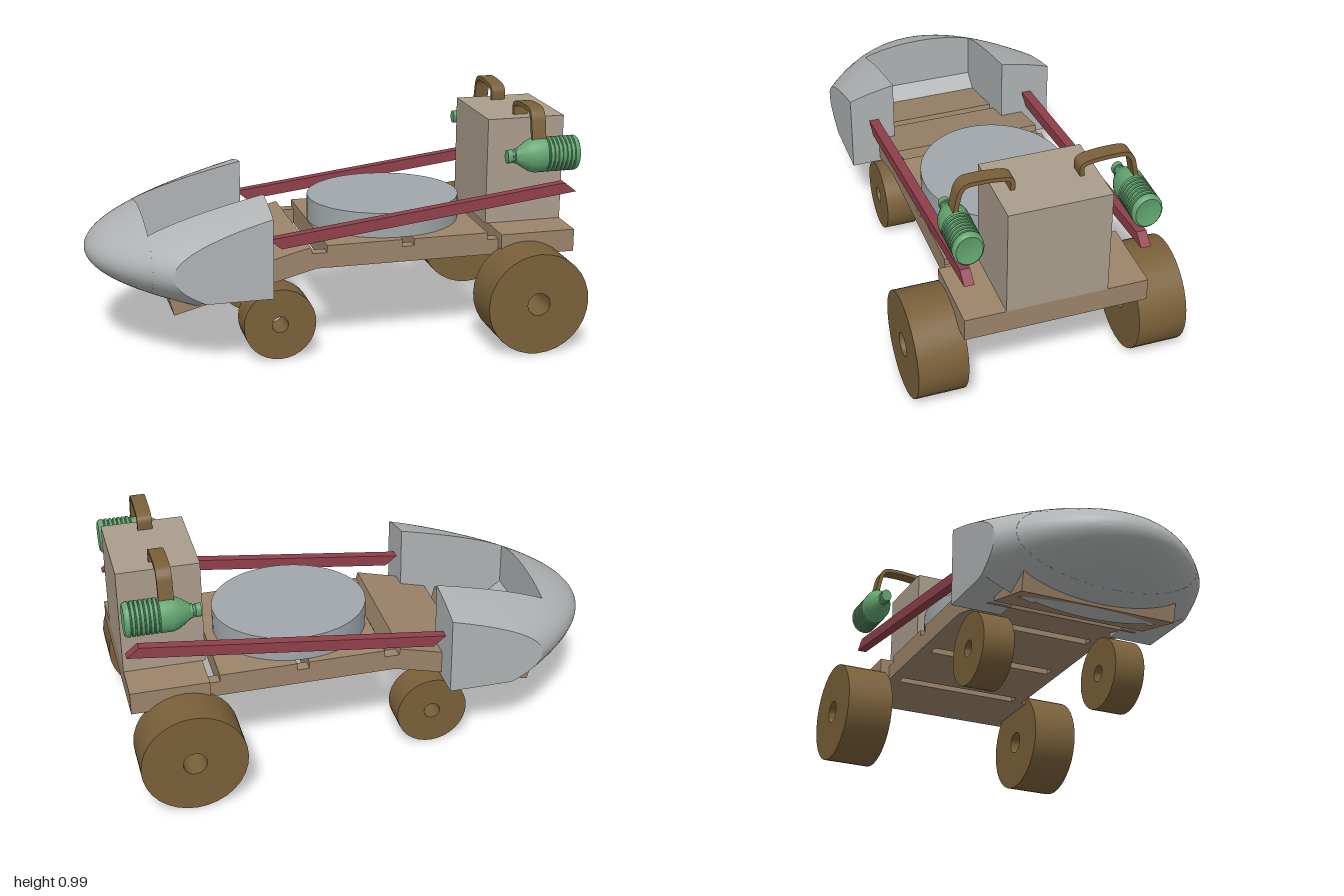
import * as THREE from 'three';
import { toCreasedNormals } from 'three/addons/utils/BufferGeometryUtils.js';

const material = (color) => new THREE.MeshStandardMaterial({ color });

export function createModel() {
  const model = new THREE.Group();
  const wood = material(0x9c846a);
  const paleWood = material(0xaa9d8c);
  const darkWood = material(0x7a603a);
  const red = material(0x90404b);
  const green = material(0x62a46f);
  const metal = material(0xb0b3b4);
  const steel = material(0xa0a6aa);

  const add = (name, geometry, mat, x = 0, y = 0, z = 0) => {
    const mesh = new THREE.Mesh(geometry, mat);
    mesh.name = name;
    mesh.position.set(x, y, z);
    model.add(mesh);
    return mesh;
  };
  const box = (name, mat, x0, x1, y0, y1, z0, z1) =>
    add(name, new THREE.BoxGeometry(x1 - x0, y1 - y0, z1 - z0), mat,
      (x0 + x1) / 2, (y0 + y1) / 2, (z0 + z1) / 2);
  const extrude = (shape, depth, curveSegments = 16) =>
    toCreasedNormals(new THREE.ExtrudeGeometry(shape, { depth, bevelEnabled: false, curveSegments }), 0.5);

  // Deck planks: three level, two tilted down towards the nose
  box('rearDeck', wood, 0.68, 1, 0.37, 0.465, -0.37, 0.37);
  box('middleDeck', wood, 0.315, 0.633, 0.37, 0.465, -0.33, 0.33);
  box('middleDeck', wood, -0.053, 0.265, 0.37, 0.465, -0.33, 0.33);
  const tiltedPlank = (name, length, x, y) => {
    add(name, new THREE.BoxGeometry(length, 0.095, 0.66), wood, x, y, 0).rotation.z = 0.25;
  };
  tiltedPlank('frontDeck', 0.3, -0.254, 0.379);
  tiltedPlank('noseDeck', 0.255, -0.572, 0.298);

  // Small blocks joining the planks at their outer edges
  for (const [x0, x1] of [[-0.12, -0.05], [0.26, 0.32], [0.63, 0.685]]) {
    for (const s of [-1, 1]) {
      box('deckLink', wood, x0, x1, 0.37, 0.435, s * 0.305 - 0.025, s * 0.305 + 0.025);
    }
  }

  // Tall block at the rear and oval seat in the middle
  box('rearBlock', paleWood, 0.667, 1, 0.465, 0.915, -0.204, 0.204);
  const seat = add('seat', new THREE.CylinderGeometry(1, 1, 0.105, 64), steel, 0.272, 0.5175, -0.003);
  seat.scale.set(0.323, 1, 0.301);

  // Wheels with a round axle hole
  const wheel = (name, x, y, radius, hole, inner, outer) => {
    const shape = new THREE.Shape().absarc(0, 0, radius, 0, Math.PI * 2);
    shape.holes.push(new THREE.Path().absarc(0, 0, hole, 0, Math.PI * 2, true));
    const geometry = extrude(shape, outer - inner);
    add(name, geometry, darkWood, x, y, inner);
    add(name, geometry, darkWood, x, y, -outer);
  };
  wheel('rearWheel', 0.785, 0.215, 0.215, 0.048, 0.35, 0.55);
  wheel('frontWheel', -0.255, 0.15, 0.15, 0.034, 0.224, 0.355);

  // Slanted side rails with angled ends
  const railShape = new THREE.Shape([[-0.3, 0.52], [-0.25, 0.478], [1, 0.63], [0.95, 0.67]]
    .map(([x, y]) => new THREE.Vector2(x, y)));
  for (const z of [0.33, -0.37]) add('sideRail', extrude(railShape, 0.04), red, 0, 0, z);

  // Ribbed bottles: radius and distance along the axis, from the base forward
  const profile = [[0, 0.006], [0.045, 0.004], [0.062, 0], [0.07, 0.006]];
  for (let i = 0; i < 7; i++) {
    const d = 0.012 + i * 0.018;
    profile.push([0.073, d], [0.073, d + 0.011], [0.067, d + 0.013], [0.067, d + 0.016]);
  }
  profile.push([0.073, 0.14], [0.073, 0.188], [0.067, 0.208], [0.054, 0.23], [0.036, 0.255],
    [0.031, 0.262], [0.031, 0.27], [0.025, 0.272], [0.025, 0.28], [0.028, 0.282], [0.028, 0.303], [0, 0.303]);
  const bottle = toCreasedNormals(
    new THREE.LatheGeometry(profile.map(([r, d]) => new THREE.Vector2(r, d)), 24), 0.5);
  for (const s of [-1, 1]) {
    const mesh = add('bottle', bottle, green, 1, 0.793, s * 0.349);
    mesh.rotation.z = Math.PI / 2;
    mesh.scale.z = 0.83;
  }

  // Flat bent hooks holding the bottles, drawn as a strip with thickness
  const centreLine = new THREE.CatmullRomCurve3([
    [0.137, 0.905], [0.137, 0.955], [0.152, 0.966], [0.2, 0.974], [0.27, 0.977],
    [0.315, 0.972], [0.335, 0.95], [0.346, 0.91], [0.358, 0.85],
  ].map(([z, y]) => new THREE.Vector3(z, y, 0))).getPoints(40);
  const edge = (offset) => centreLine.map((p, i) => {
    const a = centreLine[Math.max(i - 1, 0)];
    const b = centreLine[Math.min(i + 1, 40)];
    const t = b.clone().sub(a).normalize();
    return new THREE.Vector2(p.x - t.y * offset, p.y + t.x * offset);
  });
  const rightHalf = [...edge(-0.009), ...edge(0.009).reverse()];
  for (const s of [-1, 1]) {
    const shape = new THREE.Shape(rightHalf.map((p) => new THREE.Vector2(s * p.x, p.y)));
    const hook = add('bottleHook', extrude(shape, 0.06), darkWood, s, 0, 0);
    hook.position.set(0.86, 0, 0);
    hook.rotation.y = -Math.PI / 2;
  }

  // Nose: a flattened paraboloid clipped at the sides, lofted along x in pieces
  const axisY = 0.42;
  const noseLoft = (name, x0, x1, z0, z1, low = () => -1, high = () => 2) => {
    const n = 20;
    const stations = 20;
    const ring = 2 * n + 2;
    const position = [];
    const index = [];
    for (let i = 0; i <= stations; i++) {
      const u = THREE.MathUtils.lerp(Math.sqrt(x0 + 1), Math.sqrt(x1 + 1), i / stations);
      const x = u * u - 1;
      const w = 0.82 * u;
      const h = 0.335 * u;
      const limit = Math.min(0.45, w);
      const a = Math.max(z0, -limit);
      const b = Math.min(z1, limit);
      for (let k = 0; k < ring; k++) {
        const top = k <= n;
        const t = (top ? k : ring - 1 - k) / n;
        const z = THREE.MathUtils.lerp(a, b, (1 - Math.cos(Math.PI * t)) / 2);
        const rise = w > 0 ? h * Math.sqrt(Math.max(0, 1 - (z / w) ** 2)) : 0;
        const y = top ? Math.min(axisY + rise, high(x)) : Math.max(axisY - rise, low(x));
        position.push(x, y, z);
      }
    }
    for (let i = 0; i < stations; i++) {
      for (let k = 0; k < ring; k++) {
        const a = i * ring + k;
        const b = i * ring + (k + 1) % ring;
        index.push(a, b, a + ring, b, b + ring, a + ring);
      }
    }
    // End caps
    const last = stations * ring;
    for (let k = 0; k < n; k++) {
      const m = ring - 1 - k;
      index.push(k, m, k + 1, k + 1, m, m - 1);
      index.push(last + k, last + k + 1, last + m, last + k + 1, last + m - 1, last + m);
    }
    const geometry = new THREE.BufferGeometry();
    geometry.setAttribute('position', new THREE.Float32BufferAttribute(position, 3));
    geometry.setIndex(index);
    add(name, toCreasedNormals(geometry, 0.6), metal);
  };
  noseLoft('noseTip', -1, -0.77, -0.45, 0.45);
  noseLoft('noseFloor', -0.77, -0.6, -0.235, 0.26, undefined, (x) => 0.36 - (x + 0.77) * 0.7);
  for (const [z0, z1] of [[0.26, 0.45], [-0.45, -0.235]]) {
    noseLoft('noseArm', -0.77, -0.59, z0, z1);
    noseLoft('noseArm', -0.59, -0.3, z0, z1, () => 0.3);
  }

  return model;
}
